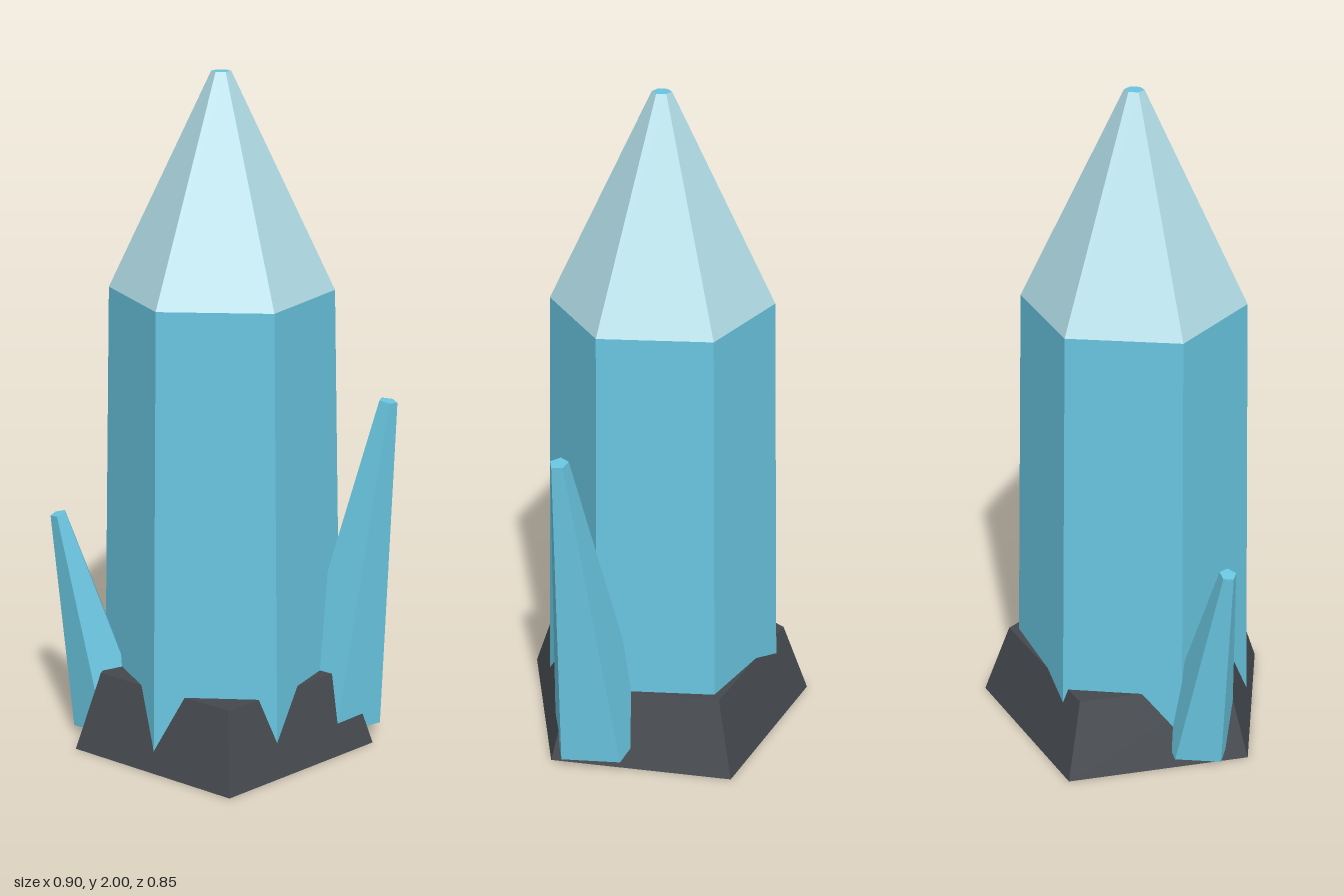
import * as THREE from 'three';

const material = (name, color) => {
  const m = new THREE.MeshStandardMaterial({ color });
  m.name = name;
  return m;
};

// Faceted, tapered prism whose first corner points at angle "start" around y, from +z
function prism(rTop, rBottom, height, sides, start) {
  const g = new THREE.CylinderGeometry(rTop, rBottom, height, sides, 1, false, start)
    .translate(0, height / 2, 0).toNonIndexed();
  g.computeVertexNormals();
  return g;
}

export function createModel() {
  const model = new THREE.Group();
  model.name = 'crystalCluster';
  const blue = material('crystalBlue', 0x69c5e0);
  const pale = material('paleBlue', 0xb0dbe5);
  const rock = material('darkRock', 0x44484d);

  function add(name, geometry, mat, x, y, z) {
    const mesh = new THREE.Mesh(geometry, mat);
    mesh.name = name;
    mesh.position.set(x, y, z);
    model.add(mesh);
    return mesh;
  }

  // Five-sided rock base
  add('rockBase', prism(0.387, 0.47, 0.235, 5, Math.PI), rock, -0.003, 0, 0.043);

  // Six-sided main crystal, with a pale point and a small blue end facet
  add('mainCrystal', prism(0.325, 0.363, 1.375, 6, 0), blue, -0.004, 0.005, 0.044);
  add('crystalPoint', prism(0.028, 0.325, 0.62, 6, 0), [pale, blue, pale], -0.004, 1.38, 0.044);

  // Leaning five-sided side crystals, one corner facing outward
  function sideCrystal(name, foot, tip, rTop, rBottom, outX, outZ) {
    const from = new THREE.Vector3(...foot);
    const axis = new THREE.Vector3(...tip).sub(from);
    const geometry = prism(rTop, rBottom, axis.length(), 5, Math.atan2(outX, outZ));
    const mesh = add(name, geometry, blue, ...foot);
    mesh.quaternion.setFromUnitVectors(new THREE.Vector3(0, 1, 0), axis.normalize());
  }
  sideCrystal('tallSideCrystal', [0.29, 0.062, -0.115], [0.424, 1.057, -0.182], 0.028, 0.154, 0.95, -0.31);
  sideCrystal('shortSideCrystal', [-0.262, 0.052, 0.265], [-0.378, 0.71, 0.35], 0.025, 0.118, -0.72, 0.69);

  return model;
}
